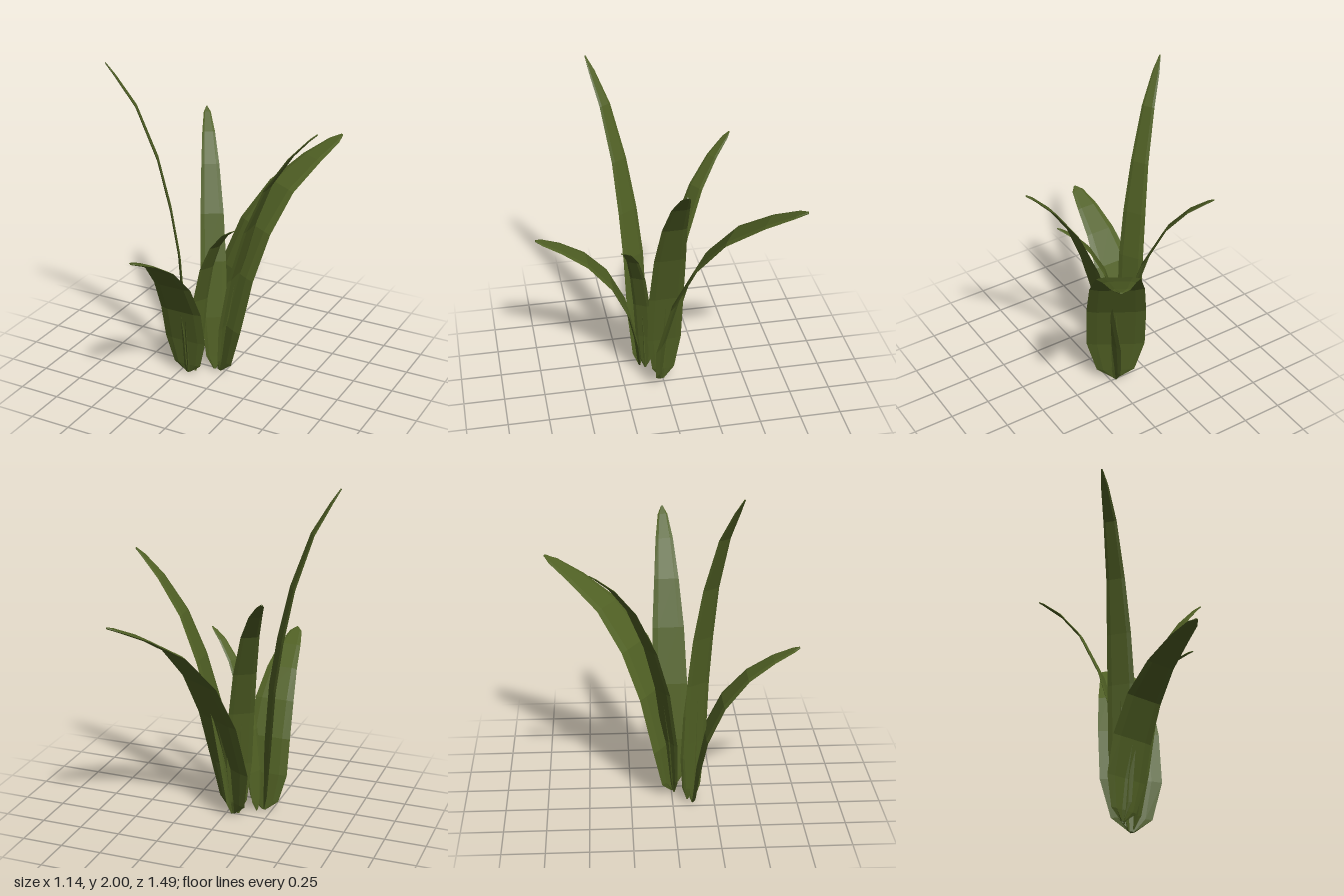
import * as THREE from 'three';

// Half-width of each ring along a blade, relative to its widest point
const WIDTHS = [0.1, 0.66, 1, 1, 0.9, 0.7, 0.5, 0.28, 0.05];

// base and tip are [x, z]; spine is [outward reach, height] per ring
const LEAVES = [
  { name: 'frontLeaf', base: [-0.2, 0.12], tip: [-0.2, 0.74], half: 0.136,
    spine: [[0, 0.005], [0.01, 0.065], [0.03, 0.24], [0.08, 0.46], [0.18, 0.67], [0.32, 0.83], [0.47, 0.93], [0.585, 0.985], [0.62, 1]] },
  { name: 'broadBackLeaf', base: [-0.04, 0.01], tip: [0.41, -0.745], half: 0.18,
    spine: [[0, 0.005], [0.01, 0.085], [0.035, 0.32], [0.125, 0.65], [0.255, 0.92], [0.44, 1.14], [0.657, 1.28], [0.82, 1.36], [0.88, 1.385]] },
  { name: 'tallRightLeaf', base: [-0.2, 0.12], tip: [-0.57, 0.36], half: 0.08,
    spine: [[0, 0.005], [0.005, 0.11], [0.02, 0.42], [0.045, 0.8], [0.09, 1.1], [0.16, 1.42], [0.275, 1.74], [0.385, 1.92], [0.44, 2]] },
  { name: 'leftLeaf', base: [-0.035, 0], tip: [0.56, -0.025], half: 0.106,
    spine: [[0, 0.005], [0.01, 0.09], [0.035, 0.33], [0.095, 0.67], [0.19, 1], [0.3, 1.27], [0.44, 1.48], [0.55, 1.6], [0.596, 1.64]] },
  { name: 'backRightLeaf', base: [-0.07, 0.015], tip: [-0.38, -0.47], half: 0.078,
    spine: [[0, 0.005], [0.01, 0.09], [0.03, 0.35], [0.085, 0.7], [0.17, 0.98], [0.3, 1.25], [0.43, 1.41], [0.54, 1.5], [0.576, 1.525]] },
  { name: 'smallLeaf', base: [-0.165, 0.09], tip: [0.2, 0.28], half: 0.054,
    spine: [[0, 0.005], [0.005, 0.07], [0.02, 0.26], [0.06, 0.52], [0.13, 0.76], [0.22, 0.93], [0.32, 1.04], [0.385, 1.085], [0.412, 1.1]] },
];

// Joins equal-sized rings of points into a closed skin
function loft(rings) {
  const n = rings[0].length;
  const pos = rings.flat().flatMap((p) => [p.x, p.y, p.z]);
  const idx = [];
  for (let r = 0; r < rings.length - 1; r++) {
    for (let i = 0; i < n; i++) {
      const j = (i + 1) % n;
      const a = r * n + i, b = r * n + j, c = a + n, d = b + n;
      idx.push(a, b, d, a, d, c);
    }
  }
  const last = (rings.length - 1) * n;
  for (let i = 1; i < n - 1; i++) {
    idx.push(0, i + 1, i, last, last + i, last + i + 1);
  }
  const geo = new THREE.BufferGeometry();
  geo.setAttribute('position', new THREE.Float32BufferAttribute(pos, 3));
  geo.setIndex(idx);
  const flat = geo.toNonIndexed();
  flat.computeVertexNormals();
  return flat;
}

// Places a cross-section of [across, inward] pairs square to the spine at ring i
function ring(spine, i, section) {
  const a = spine[Math.max(i - 1, 0)];
  const b = spine[Math.min(i + 1, spine.length - 1)];
  const len = Math.hypot(b[0] - a[0], b[1] - a[1]);
  const tz = (b[0] - a[0]) / len, ty = (b[1] - a[1]) / len;
  const [z, y] = spine[i];
  return section.map(([u, v]) => new THREE.Vector3(u, y + v * tz, z - v * ty));
}

function makeLeaf({ name, base, tip, half, spine }, material) {
  const leaf = new THREE.Group();
  leaf.name = name;
  const size = half / 0.136;
  const thick = (w) => (0.004 + 0.004 * w) * Math.sqrt(size);

  // Thin blade with bevelled edges
  const blade = new THREE.Mesh(loft(spine.map((_, i) => {
    const w = half * WIDTHS[i], t = thick(WIDTHS[i]);
    return ring(spine, i, [[w, 0], [w * 0.65, t], [-w * 0.65, t], [-w, 0], [-w * 0.65, -t], [w * 0.65, -t]]);
  })), material);
  blade.name = name + 'Blade';

  // Short rib on the outer face, fading out partway up
  const rib = new THREE.Mesh(loft([0.6, 1, 0.9, 0.02].map((k, i) => {
    const h = 0.02 * k * size, t = thick(WIDTHS[i]) - 0.001;
    return ring(spine, i, [[h, -t], [-h, -t], [0, -t - 0.009 * k * size]]);
  })), material);
  rib.name = name + 'Rib';

  leaf.add(blade, rib);
  leaf.position.set(base[0], 0, base[1]);
  leaf.rotation.y = Math.atan2(tip[0] - base[0], tip[1] - base[1]);
  return leaf;
}

export function createModel() {
  const leafGreen = new THREE.MeshStandardMaterial({ color: 0x506024, flatShading: true });
  leafGreen.name = 'leafGreen';
  const plant = new THREE.Group();
  plant.name = 'plant';
  for (const spec of LEAVES) plant.add(makeLeaf(spec, leafGreen));
  return plant;
}
